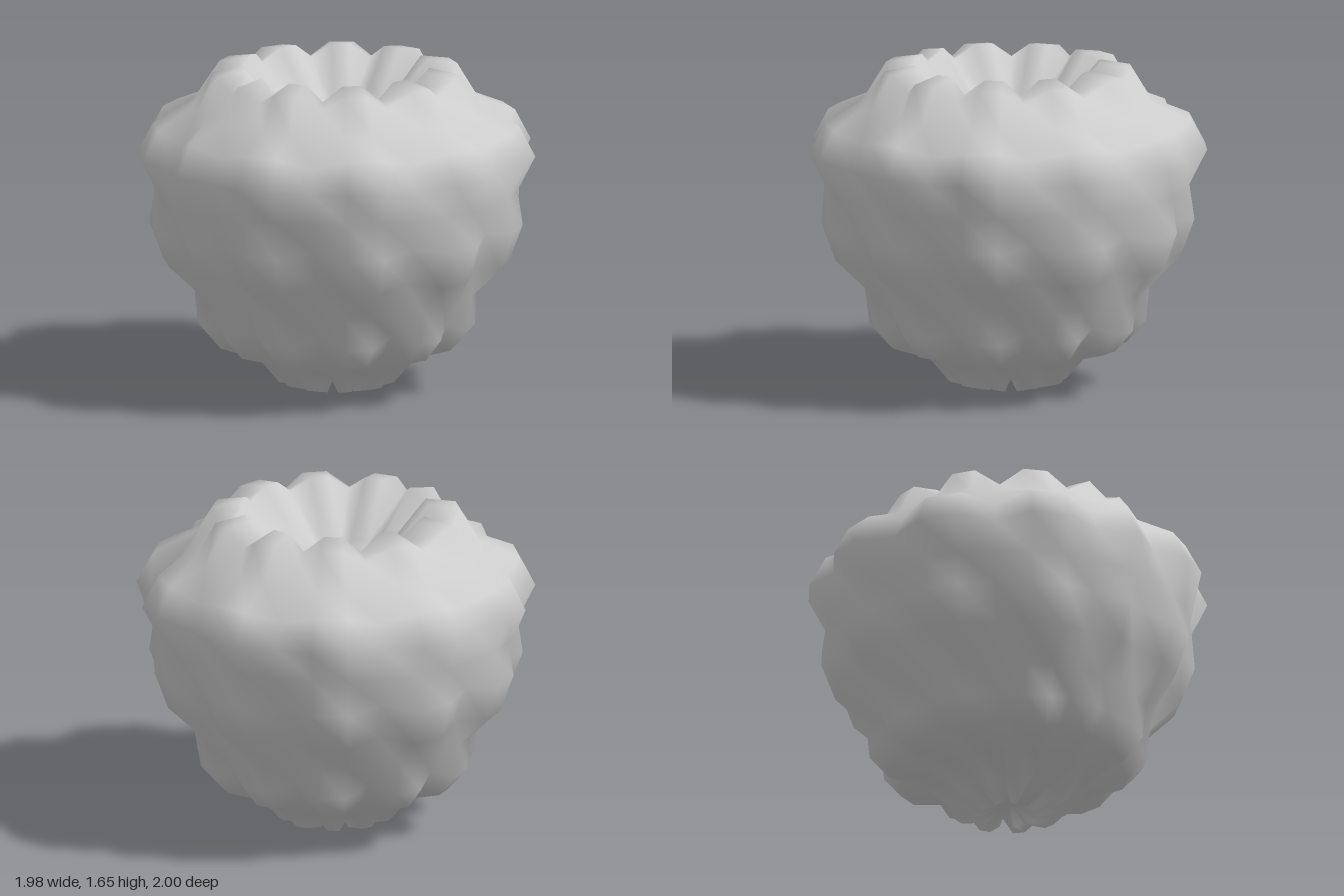
import * as THREE from 'three';
import { mergeVertices } from 'three/addons/utils/BufferGeometryUtils.js';

const COLUMNS = 32;
const BUMP = 0.08;

// Smooth body profile (radius, height) from the bottom pole, over the rim, to the hollow's floor
const PROFILE = [
  [0, 0.08], [0.13, 0.085], [0.27, 0.12], [0.41, 0.18], [0.54, 0.29], [0.63, 0.395],
  [0.71, 0.52], [0.79, 0.7], [0.86, 0.89], [0.91, 1.04], [0.92, 1.2], [0.855, 1.32],
  [0.725, 1.45], [0.58, 1.555], [0.5, 1.58], [0.25, 1.4], [0, 1.29],
];

// Every third row and column stays low; the rest is pushed out as bumps
function isRaised(row, column) {
  const mirrored = Math.min(column, COLUMNS - column);
  return mirrored % 3 !== 0 && row % 3 !== 0 && row < PROFILE.length - 1;
}

function bumpyBodyGeometry() {
  const points = PROFILE.map(([r, y]) => new THREE.Vector2(r, y));
  const lathe = new THREE.LatheGeometry(points, COLUMNS, Math.PI / 2);
  const position = lathe.attributes.position;
  const normal = lathe.attributes.normal;
  const p = new THREE.Vector3();
  const n = new THREE.Vector3();
  for (let i = 0; i < position.count; i++) {
    const row = i % PROFILE.length;
    const column = Math.floor(i / PROFILE.length);
    if (!isRaised(row, column)) continue;
    p.fromBufferAttribute(position, i);
    n.fromBufferAttribute(normal, i);
    p.addScaledVector(n, BUMP);
    position.setXYZ(i, p.x, p.y, p.z);
  }
  // Weld the seam and poles so the shading is smooth all round
  lathe.deleteAttribute('uv');
  lathe.deleteAttribute('normal');
  const geometry = mergeVertices(lathe, 1e-4);
  geometry.computeVertexNormals();
  geometry.computeBoundingBox();
  const box = geometry.boundingBox;
  geometry.translate(-(box.min.x + box.max.x) / 2, -box.min.y, -(box.min.z + box.max.z) / 2);
  return geometry;
}

export function createModel() {
  const model = new THREE.Group();
  model.name = 'ribbedHollowPod';
  const material = new THREE.MeshStandardMaterial({ color: 0xcccccc });
  const body = new THREE.Mesh(bumpyBodyGeometry(), material);
  body.name = 'bumpyBody';
  model.add(body);
  return model;
}
